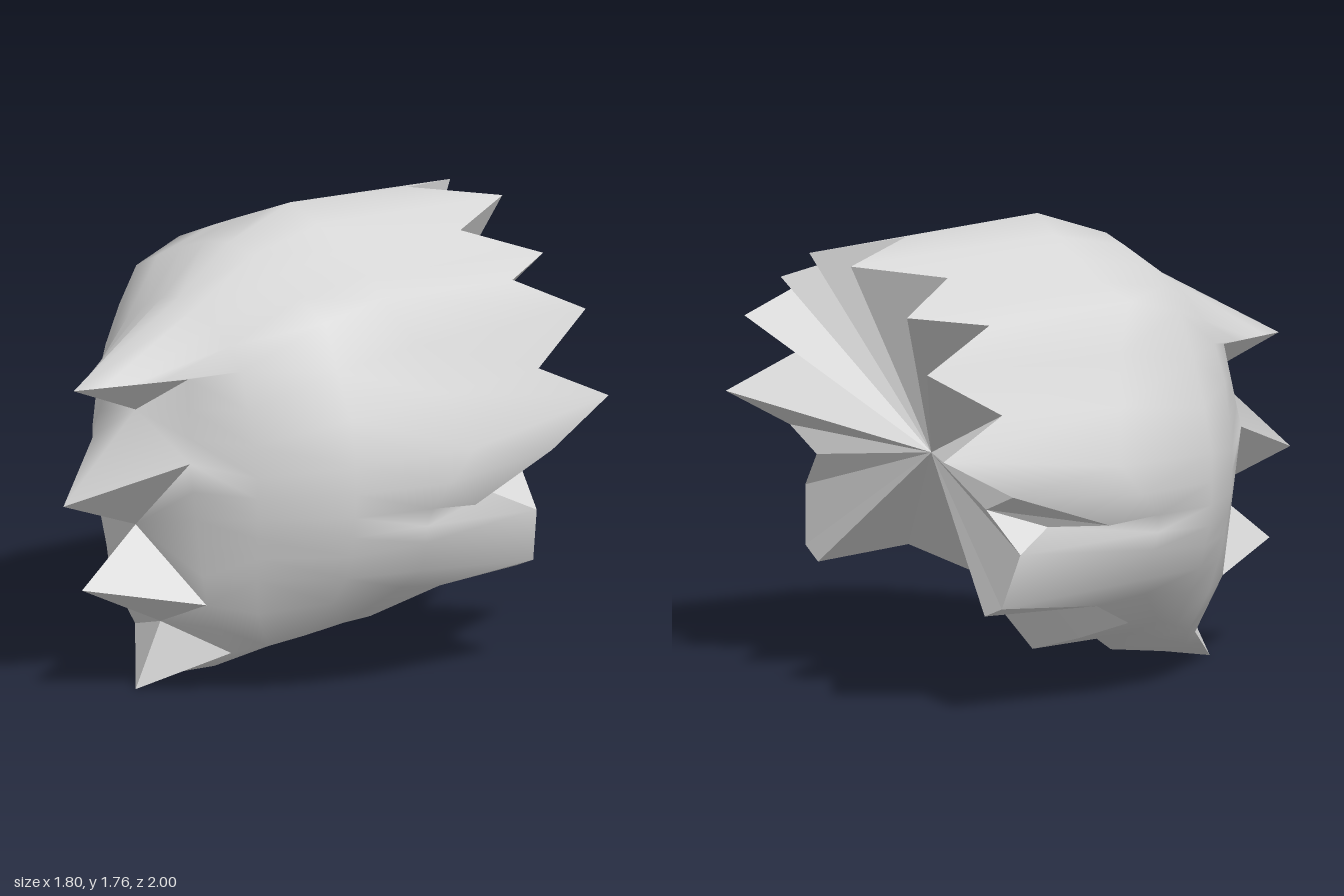
import * as THREE from 'three';

// Half cross-sections, from the crown round the +x side to the underside.
const rim = [
  [0, 1.735, -0.67], [0.155, 1.68, -1], [0.31, 1.63, -0.67], [0.47, 1.53, -0.94], [0.62, 1.5, -0.67],
  [0.68, 1.35, -0.975], [0.75, 1.18, -0.69], [0.81, 1.04, -0.98], [0.83, 0.88, -0.69], [0.865, 0.74, -0.29],
  [0.73, 0.73, -0.48], [0.8, 0.65, -0.64], [0.73, 0.435, -0.68], [0.7, 0.4, -0.25], [0.56, 0.29, -0.03],
  [0.28, 0.19, -0.08], [0, 0.105, -0.12]];
const middle = [
  [0, 1.77, -0.1], [0.155, 1.71, -0.11], [0.31, 1.65, -0.11], [0.47, 1.585, -0.1], [0.6, 1.525, -0.05],
  [0.7, 1.35, -0.15], [0.79, 1.17, -0.2], [0.9, 0.97, -0.26], [0.885, 0.85, -0.16], [0.87, 0.76, -0.08],
  [0.85, 0.69, -0.07], [0.83, 0.62, -0.08], [0.785, 0.5, -0.1], [0.72, 0.43, -0.05], [0.56, 0.285, 0.1],
  [0.3, 0.19, 0.12], [0, 0.145, 0.12]];
const brow = [
  [0, 1.665, 0.2], [0.14, 1.64, 0.2], [0.28, 1.59, 0.2], [0.42, 1.53, 0.2], [0.56, 1.46, 0.19],
  [0.65, 1.29, 0.2], [0.73, 1.12, 0.2], [0.77, 0.95, 0.21], [0.77, 0.84, 0.21], [0.765, 0.75, 0.21],
  [0.755, 0.67, 0.21], [0.735, 0.59, 0.2], [0.7, 0.5, 0.2], [0.62, 0.39, 0.2], [0.48, 0.24, 0.22],
  [0.28, 0.16, 0.24], [0, 0.07, 0.22]];
const cheek = [
  [0, 1.49, 0.44], [0.1, 1.47, 0.44], [0.2, 1.42, 0.44], [0.3, 1.36, 0.44], [0.38, 1.28, 0.45],
  [0.44, 1.14, 0.46], [0.47, 1.01, 0.46], [0.49, 0.89, 0.46], [0.49, 0.81, 0.46], [0.49, 0.73, 0.46],
  [0.48, 0.65, 0.45], [0.47, 0.57, 0.44], [0.45, 0.48, 0.43], [0.42, 0.34, 0.4], [0.39, 0.2, 0.33],
  [0.2, 0.1, 0.43], [0, 0.04, 0.45]];

// Front spikes: tips and hollows on the centre line, corners on the side.
const tip1 = [0, 1.21, 0.95], tip2 = [0, 0.77, 1], tip3 = [0, 0.43, 0.91], tip4 = [0, 0.005, 0.65];
const hollow1 = [0, 1.09, 0.65], hollow2 = [0, 0.645, 0.65], hollow3 = [0, 0.25, 0.53];
const corner1 = [0.225, 1.24, 0.58], corner2 = [0.285, 0.93, 0.62];
const corner3 = [0.285, 0.37, 0.54], corner4 = [0.285, 0.165, 0.42];
const mix = (a, b, t) => a.map((v, k) => v + (b[k] - v) * t);
const face = [
  tip1, mix(tip1, corner1, 0.25), mix(tip1, corner1, 0.5), mix(tip1, corner1, 0.75), corner1,
  mix(corner1, corner2, 0.35), mix(corner1, corner2, 0.7), corner2,
  ...[0.2, 0.4, 0.6, 0.8].map((t) => mix(corner2, corner3, t)),
  corner3, mix(corner3, corner4, 0.5), corner4, mix(corner4, tip4, 0.5), tip4];

const mirror = ([x, y, z]) => [-x, y, z];

function meshFrom(points, index, material, name) {
  const g = new THREE.BufferGeometry();
  g.setAttribute('position', new THREE.Float32BufferAttribute(points.flat(), 3));
  if (index) g.setIndex(index);
  g.computeVertexNormals();
  const mesh = new THREE.Mesh(g, material);
  mesh.name = name;
  return mesh;
}

// Flat facets given for the +x side and repeated on the other side.
function facets(triangles, material, name) {
  const points = [];
  for (const [a, b, c] of triangles) points.push(a, b, c, mirror(a), mirror(c), mirror(b));
  return meshFrom(points, null, material, name);
}

// Smooth shell lofted through the sections, closed between the front spikes.
function buildShell(material) {
  const sections = [rim, middle, brow, cheek, face];
  const half = rim.length - 1, n = half * 2;
  const points = [], index = [];
  for (const s of sections) {
    points.push(...s, ...s.slice(1, half).reverse().map(mirror));
  }
  for (let j = 0; j < sections.length - 1; j++) {
    for (let i = 0; i < n; i++) {
      const a = j * n + i, b = j * n + (i + 1) % n;
      // The diagonal is mirrored so that both halves match
      if (i < half) index.push(a, a + n, b, b, a + n, b + n);
      else index.push(a, a + n, b + n, a, b + n, b);
    }
  }
  const last = (sections.length - 1) * n;
  const side = (i, left) => last + (left ? i : (n - i) % n);
  const base = points.length;
  points.push(hollow1, hollow2, hollow3, tip2);
  const spans = [[4, 7], [7, 12], [12, 14]];
  for (const left of [true, false]) {
    const add = (a, b, c) => (left ? index.push(a, b, c) : index.push(a, c, b));
    spans.forEach(([from, to], k) => {
      for (let i = from; i < to; i++) add(base + k, side(i + 1, left), side(i, left));
    });
    add(base, base + 3, side(7, left));
  }
  return meshFrom(points, index, material, 'hairShell');
}

export function createModel() {
  const group = new THREE.Group();
  group.name = 'spikyHair';
  const grey = new THREE.MeshStandardMaterial({ color: 0xd6d6d6, side: THREE.DoubleSide });
  grey.name = 'hairGrey';

  group.add(buildShell(grey));

  // Flat faces of the four front spikes
  group.add(facets([
    [tip1, hollow1, corner1],
    [tip2, hollow2, corner2],
    [hollow2, tip3, corner3], [tip3, hollow3, corner3],
    [hollow3, tip4, corner4],
  ], grey, 'frontSpikes'));

  // Back of the hair: a fan from the jagged rim to one inner point,
  // with an inward fold beside the ear notch and at the nape lock
  const apex = [0, 0.9, -0.56], fold = [0.63, 0.8, -0.69], nape = [0.62, 0.39, -0.69];
  const loop = [...rim.slice(0, 9), fold, rim[11], rim[12], nape, ...rim.slice(13)];
  const fan = loop.slice(1).map((p, i) => [apex, loop[i], p]);
  for (let i = 8; i < 11; i++) fan.push([rim[i], rim[i + 1], fold]);
  fan.push([rim[12], rim[13], nape]);
  group.add(facets(fan, grey, 'backSpikes'));

  return group;
}
